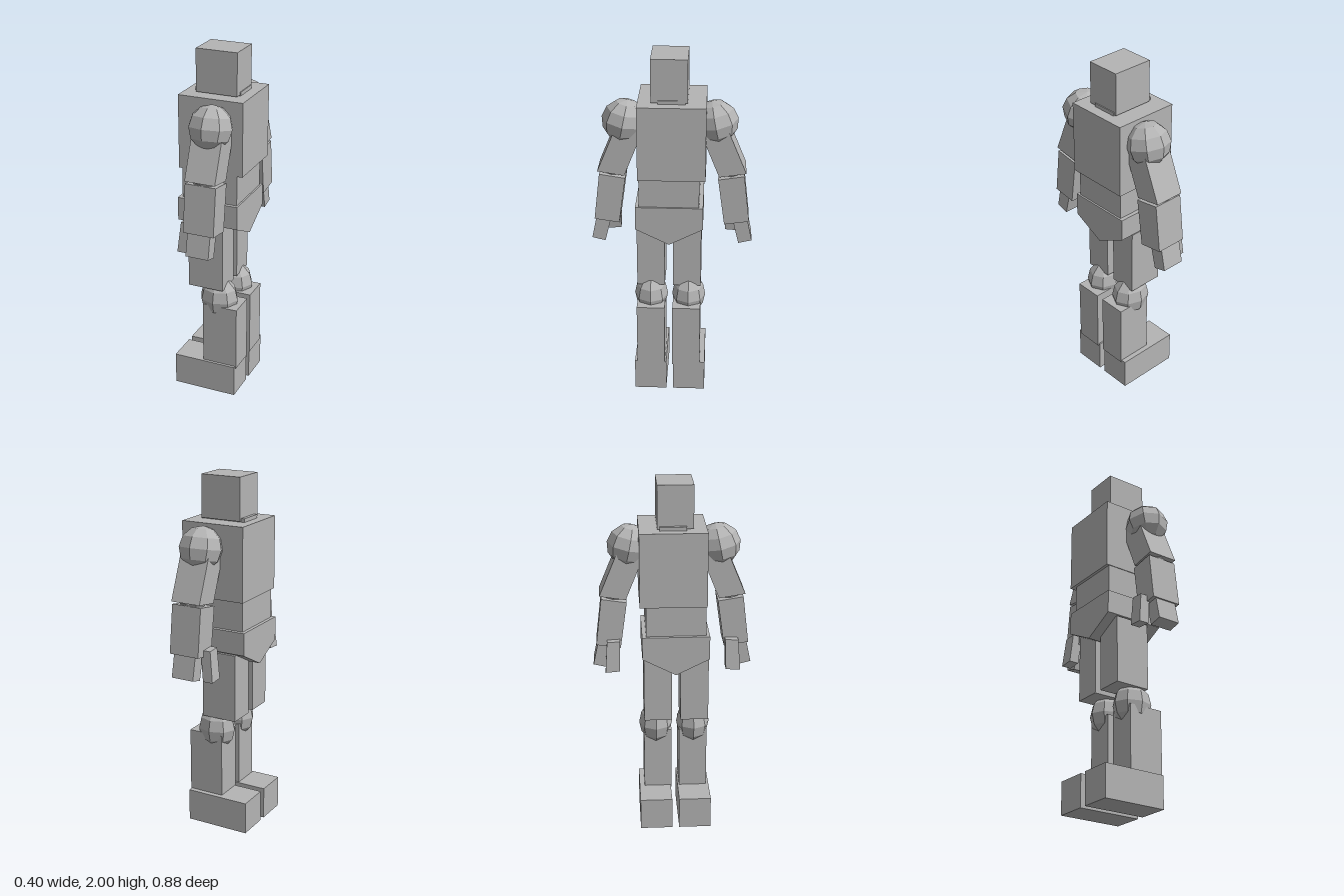
import * as THREE from 'three';

export function createModel() {
  const model = new THREE.Group();
  model.name = 'blockFigure';
  const grey = new THREE.MeshStandardMaterial({ color: 0xb4b4b4, flatShading: true });
  grey.name = 'plain grey';

  const add = (name, geometry, parent = model) => {
    const mesh = new THREE.Mesh(geometry, grey);
    mesh.name = name;
    parent.add(mesh);
    return mesh;
  };

  // Box given by its limits on each axis
  const box = (name, [x0, x1], [y0, y1], [z0, z1], parent) => {
    const mesh = add(name, new THREE.BoxGeometry(x1 - x0, y1 - y0, z1 - z0), parent);
    mesh.position.set((x0 + x1) / 2, (y0 + y1) / 2, (z0 + z1) / 2);
    return mesh;
  };

  // Outline of [z, y] points extruded along x
  const prism = (name, [x0, x1], points, parent) => {
    const shape = new THREE.Shape(points.map(([z, y]) => new THREE.Vector2(z, y)));
    const geometry = new THREE.ExtrudeGeometry(shape, { depth: x1 - x0, bevelEnabled: false });
    geometry.rotateY(-Math.PI / 2).translate(x1, 0, 0);
    return add(name, geometry, parent);
  };

  // Faceted ball joint
  const joint = (name, [x, y, z], [rx, ry, rz], tilt, parent) => {
    const mesh = add(name, new THREE.SphereGeometry(1, 8, 6), parent);
    mesh.position.set(x, y, z);
    mesh.scale.set(rx, ry, rz);
    mesh.rotation.x = tilt;
  };

  // Head and trunk; the figure looks along -x
  box('head', [-0.1, 0.135], [1.765, 2], [-0.085, 0.11]);
  box('neck', [-0.12, 0.14], [1.74, 1.78], [-0.072, 0.072]);
  box('chest', [-0.172, 0.198], [1.35, 1.76], [-0.183, 0.181]);
  box('abdomen', [-0.155, 0.165], [1.17, 1.36], [-0.15, 0.177]);
  prism('pelvis', [-0.175, 0.175],
    [[-0.172, 1.18], [-0.172, 1.053], [0.013, 0.957], [0.197, 1.048], [0.197, 1.18]]);

  for (const s of [1, -1]) {
    const side = s > 0 ? 'near' : 'far';
    const mirror = (points) => points.map(([z, y]) => [z * s, y]);

    // Arm, leaning outwards
    const arm = new THREE.Group();
    arm.name = side + 'Arm';
    model.add(arm);
    joint('shoulder', [0.05, 1.635, 0.012 + s * 0.246], [0.123, 0.119, 0.12], -0.2 * s, arm);
    prism('upperArm', [-0.036, 0.136],
      mirror([[0.285, 1.65], [0.142, 1.63], [0.255, 1.35], [0.4, 1.373]]), arm);
    joint('elbow', [0.05, 1.355, s * 0.322], [0.07, 0.05, 0.07], -0.15 * s, arm);
    prism('forearm', [-0.038, 0.137],
      mirror([[0.39, 1.357], [0.25, 1.335], [0.287, 1.07], [0.422, 1.09]]), arm);
    prism('hand', [-0.016, 0.115],
      mirror([[0.412, 1.1], [0.335, 1.08], [0.368, 0.946], [0.441, 0.964]]), arm);

    // Thumb, sheared forwards towards its tip
    const thumb = prism('thumb', [-0.096, -0.038],
      mirror([[0.363, 1.118], [0.29, 1.122], [0.294, 0.952], [0.374, 0.946]]), arm);
    const p = thumb.geometry.attributes.position;
    for (let i = 0; i < p.count; i++) p.setX(i, p.getX(i) + (p.getY(i) - 0.95) * 0.11);
    thumb.geometry.computeVertexNormals();

    // Leg
    const leg = new THREE.Group();
    leg.name = side + 'Leg';
    model.add(leg);
    const around = (centre, half) => [centre - half, centre + half];
    box('thigh', [-0.115, 0.09], [0.655, 1.04], around(0.017 + s * 0.102, 0.078), leg);
    joint('knee', [0.038, 0.573, 0.013 + s * 0.107], [0.113, 0.123, 0.095], 0, leg);
    box('shin', [-0.03, 0.175], [0.172, 0.55], around(0.017 + s * 0.101, 0.079), leg);
    box('foot', [-0.2, 0.17], [0, 0.185], around(0.01 + s * 0.111, 0.091), leg);
  }

  return model;
}
